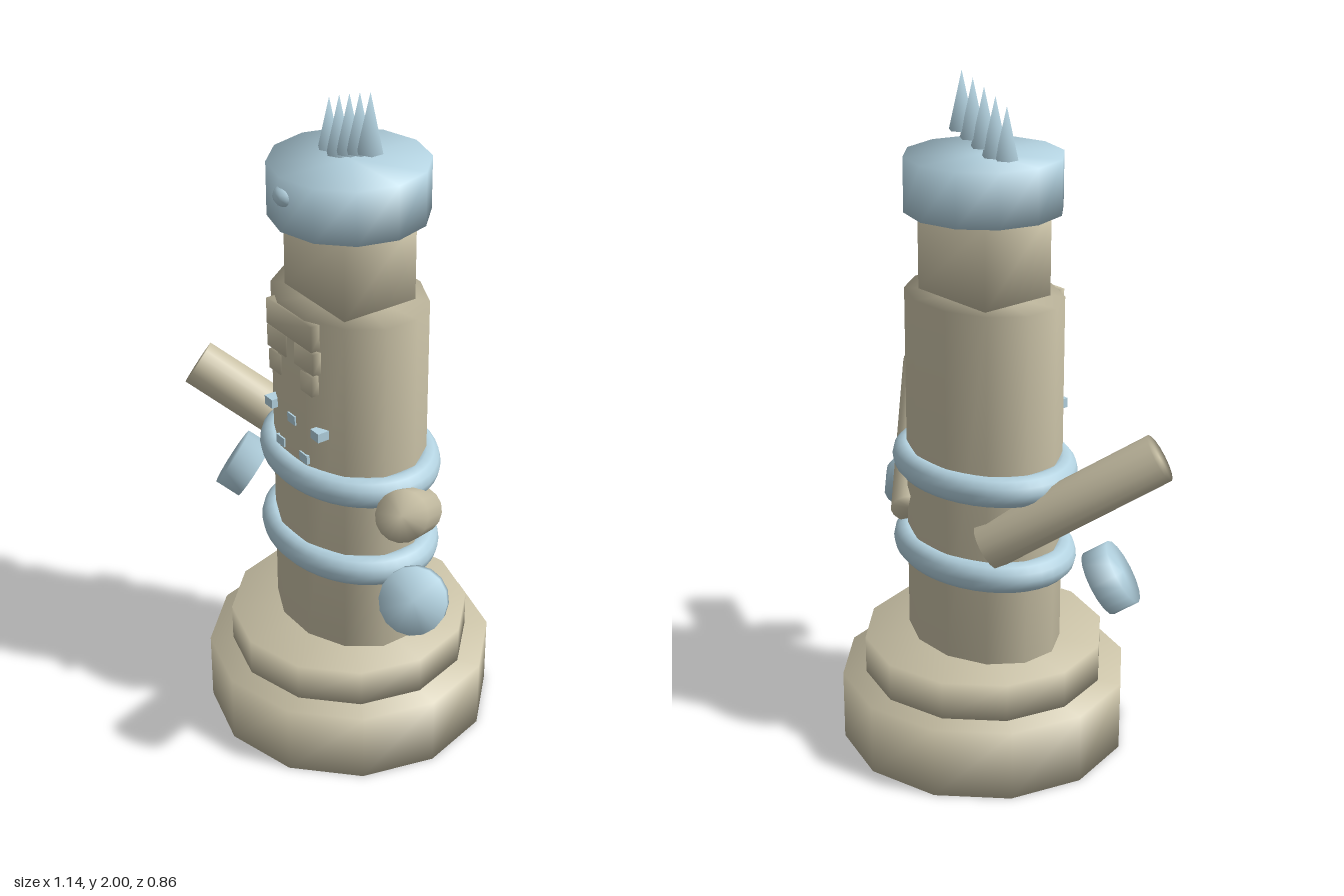
import * as THREE from 'three';
import { mergeVertices } from 'three/addons/utils/BufferGeometryUtils.js';

const stone = new THREE.MeshStandardMaterial({ name: 'stone', color: 0xc9c1a6 });
const paleBlue = new THREE.MeshStandardMaterial({ name: 'pale blue', color: 0xb3d2e0 });

// Share corners so the shading rolls over the edges
function soften(geometry) {
  geometry.deleteAttribute('normal');
  geometry.deleteAttribute('uv');
  const merged = mergeVertices(geometry, 1e-4);
  merged.computeVertexNormals();
  return merged;
}

export function createModel() {
  const model = new THREE.Group();
  model.name = 'totemFigure';

  function add(name, geometry, material, x, y, z) {
    const mesh = new THREE.Mesh(geometry, material);
    mesh.name = name;
    mesh.position.set(x, y, z);
    model.add(mesh);
    return mesh;
  }
  const drum = (r, h, sides = 12, start = 0) =>
    soften(new THREE.CylinderGeometry(r, r, h, sides, 1, false, start));
  const box = (w, h, d) => soften(new THREE.BoxGeometry(w, h, d));

  // Stepped base
  add('lowerBase', drum(0.43, 0.215), stone, 0, 0.1075, 0);
  add('upperBase', drum(0.36, 0.115), stone, 0, 0.2725, 0);

  // Oval trunk with a flat facet at front and sides
  const trunk = drum(1, 1.06, 12, Math.PI / 12);
  trunk.scale(0.254, 1, 0.204);
  trunk.computeVertexNormals();
  add('trunk', trunk, stone, 0, 0.86, 0);

  // Square neck and round cap
  add('neck', box(0.29, 0.24, 0.24), stone, 0, 1.51, 0);
  add('cap', drum(0.225, 0.155), paleBlue, 0, 1.7075, 0);
  const jewel = add('capJewel', new THREE.SphereGeometry(0.036, 12, 8), paleBlue, 0, 1.73, 0.205);
  jewel.scale.y = 0.88;

  // Rising crest of spikes
  for (let i = 0; i < 5; i++) {
    const tip = [1.93, 1.95, 1.968, 1.985, 2][i];
    add('crestSpike', soften(new THREE.ConeGeometry(0.038, 0.165, 6)), paleBlue,
      (i - 2) * 0.047, tip - 0.0825, 0);
  }

  // Oval belts
  for (const y of [0.615, 0.88]) {
    const belt = new THREE.TorusGeometry(0.26, 0.045, 12, 40);
    belt.rotateX(Math.PI / 2);
    belt.scale(1, 1, 0.787);
    add('belt', belt, paleBlue, 0, y, 0);
  }

  // Raised arms with loose discs set at the same slant
  for (const side of [1, -1]) {
    const low = new THREE.Vector3(side * 0.165, 0.7, -0.13);
    const high = new THREE.Vector3(side * 0.515, 0.995, 0.197);
    const direction = high.clone().sub(low);
    const length = direction.length();
    direction.normalize();
    const slant = new THREE.Quaternion().setFromUnitVectors(new THREE.Vector3(0, 1, 0), direction);
    const middle = low.clone().add(high).multiplyScalar(0.5);
    const prefix = side > 0 ? 'left' : 'right';
    add(prefix + 'Arm', drum(0.071, length, 16), stone, ...middle.toArray())
      .quaternion.copy(slant);
    add(prefix + 'Disc', drum(0.096, 0.08, 16), paleBlue, side * 0.442, 0.634, 0.093)
      .quaternion.copy(slant);
  }

  // Carved face
  add('brow', box(0.22, 0.078, 0.05), stone, 0, 1.345, 0.18);
  for (const side of [1, -1]) {
    add('eye', box(0.092, 0.065, 0.04), stone, side * 0.067, 1.267, 0.182);
    add('cheek', box(0.056, 0.06, 0.04), stone, side * 0.078, 1.195, 0.182);
  }

  // Chest studs in a downward triangle
  [3, 2, 1].forEach((count, row) => {
    for (let i = 0; i < count; i++) {
      add('chestStud', new THREE.BoxGeometry(0.038, 0.028, 0.036), paleBlue,
        (i - (count - 1) / 2) * 0.116, 1.046 - row * 0.1, 0.184);
    }
  });

  return model;
}
